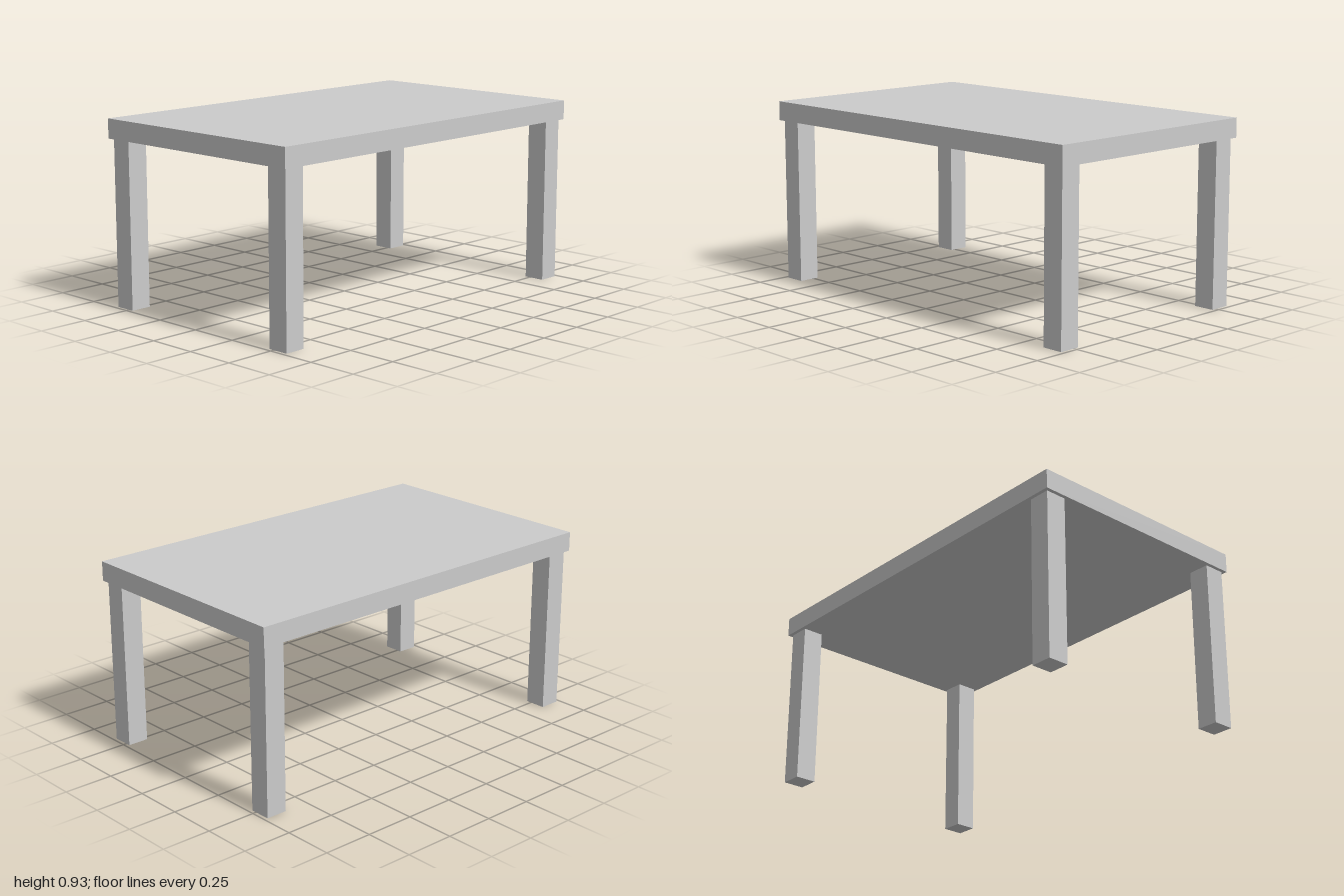
import * as THREE from 'three';

const HEIGHT = 0.925, TOP_THICKNESS = 0.097, LEG = 0.107;

export function createModel() {
  const table = new THREE.Group();
  table.name = 'table';
  const material = new THREE.MeshStandardMaterial({ color: 0xcccccc, flatShading: true });

  const addBox = (name, size, position) => {
    const mesh = new THREE.Mesh(new THREE.BoxGeometry(...size), material);
    mesh.name = name;
    mesh.position.set(...position);
    table.add(mesh);
  };

  // Tabletop slab
  addBox('tabletop', [1.2, TOP_THICKNESS, 2], [0, HEIGHT - TOP_THICKNESS / 2, 0]);

  // Four square legs, set in slightly from the corners
  const legHeight = HEIGHT - TOP_THICKNESS;
  for (const [end, sz] of [['front', 1], ['back', -1]]) {
    for (const [side, sx] of [['Left', 1], ['Right', -1]]) {
      addBox(`${end}${side}Leg`, [LEG, legHeight, LEG], [sx * 0.528, legHeight / 2, sz * 0.928]);
    }
  }
  return table;
}
